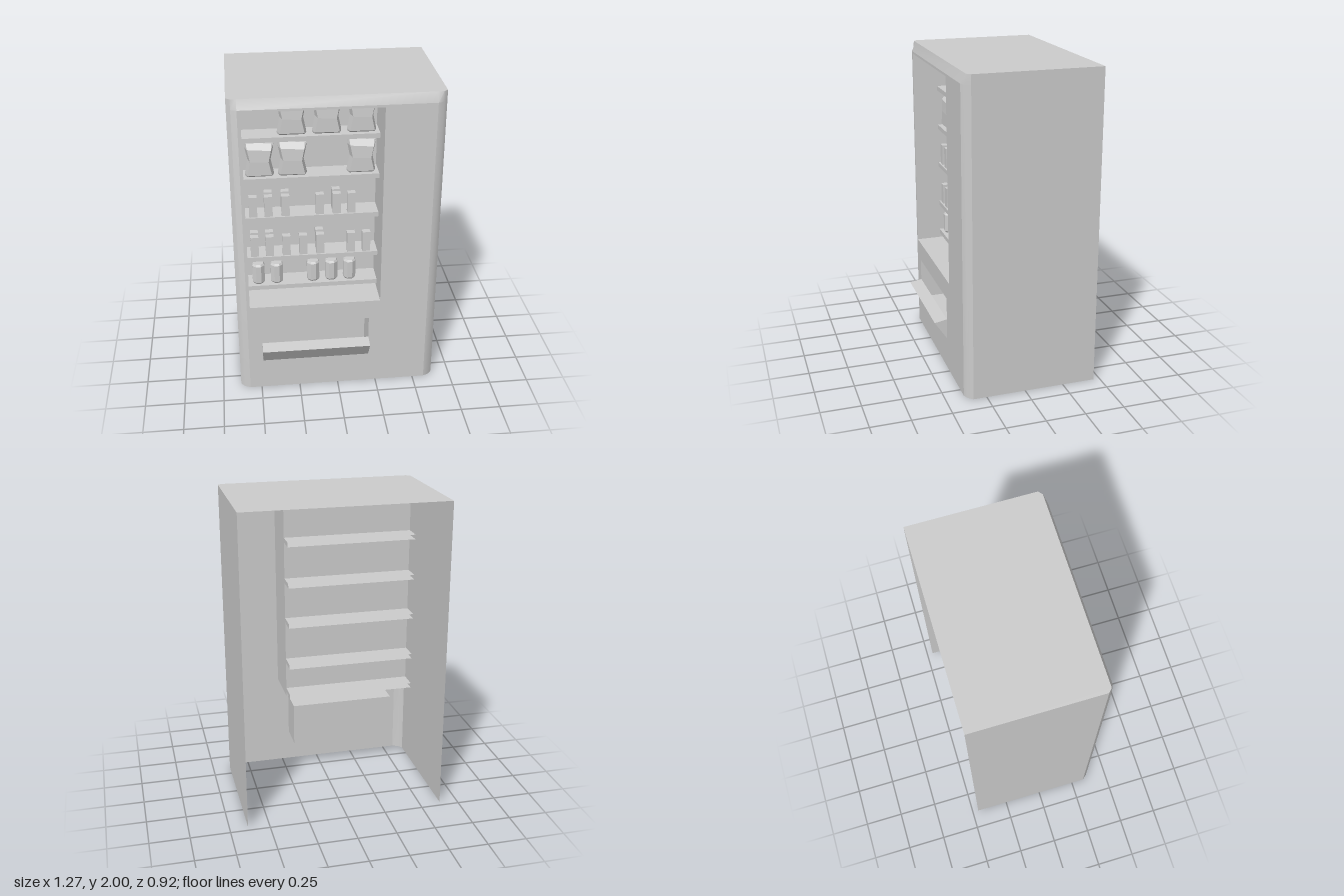
import * as THREE from 'three';
import { toCreasedNormals } from 'three/addons/utils/BufferGeometryUtils.js';

const smooth = new THREE.MeshStandardMaterial({ color: 0xcccccc, side: THREE.DoubleSide });
const flat = new THREE.MeshStandardMaterial({ color: 0xcccccc, side: THREE.DoubleSide, flatShading: true });

function add(parent, name, geometry, material = smooth) {
  const mesh = new THREE.Mesh(geometry, material);
  mesh.name = name;
  parent.add(mesh);
  return mesh;
}

// Skin between rows of points stacked upwards; skip(row, column) leaves a quad out
function loft(rows, closed, skip = () => false) {
  const pos = [];
  const n = rows[0].length;
  for (let r = 0; r < rows.length - 1; r++) {
    for (let i = 0; i < (closed ? n : n - 1); i++) {
      if (skip(r, i)) continue;
      const j = (i + 1) % n;
      const a = rows[r][i], b = rows[r][j], c = rows[r + 1][j], d = rows[r + 1][i];
      pos.push(...a, ...b, ...c, ...a, ...c, ...d);
    }
  }
  const g = new THREE.BufferGeometry();
  g.setAttribute('position', new THREE.Float32BufferAttribute(pos, 3));
  g.computeVertexNormals();
  return g;
}

// Box between two corners with one face removed (4 = front, 5 = back)
function openBox(x0, x1, y0, y1, z0, z1, dropped) {
  const g = new THREE.BoxGeometry(x1 - x0, y1 - y0, z1 - z0);
  const index = Array.from(g.index.array);
  index.splice(dropped * 6, 6);
  g.setIndex(index);
  g.clearGroups();
  return g.translate((x0 + x1) / 2, (y0 + y1) / 2, (z0 + z1) / 2);
}

function rectPath(x0, x1, y0, y1) {
  return new THREE.Path([[x0, y0], [x0, y1], [x1, y1], [x1, y0]].map(p => new THREE.Vector2(...p)));
}

// Snack bag: pinched waist, bulging front and back, flattened top seal
function bagGeometry() {
  const sections = [
    // height, half width, half depth
    [0, 0.088, 0.035], [0.012, 0.088, 0.05], [0.1, 0.07, 0.05], [0.175, 0.085, 0.045], [0.21, 0.09, 0.012],
  ];
  const rows = sections.map(([y, w, d]) => {
    const f = w - 0.014;
    const ring = [[-w, 0], [-f, d], [f, d], [w, 0], [f, -d], [-f, -d]];
    return ring.map(([x, z]) => [x, y * (1 - x * 0.5), z]);
  });
  const cap = (row, y) => row.map(() => [0, y, 0]);
  return loft([cap(rows[0], 0), ...rows, cap(rows[4], 0.21)], true);
}

// Eight-sided can with bevelled rims
function canGeometry() {
  const profile = [[0, 0], [0.034, 0], [0.042, 0.012], [0.042, 0.128], [0.034, 0.14], [0, 0.14]];
  return new THREE.LatheGeometry(profile.map(p => new THREE.Vector2(...p)), 8, Math.PI / 8);
}

export function createModel() {
  const model = new THREE.Group();
  model.name = 'vendingMachine';

  const window_ = [-0.555, 0.27, 0.62, 1.925];
  const slot = [-0.485, 0.2, 0.21, 0.49];

  // Cabinet shell, open at the back and underneath
  const cabinet = new THREE.Group();
  cabinet.name = 'cabinet';
  model.add(cabinet);
  const half = [[0.575, 0.38], [0.61, 0.365], [0.635, 0.335], [0.635, -0.46]];
  const outline = [...half.map(([x, z]) => [-x, z]).reverse(), ...half];
  const topOutline = outline.map(([x, z]) => [x, Math.min(z, 0.357)]);
  const shell = loft([
    outline.map(([x, z]) => [x, 0, z]),
    outline.map(([x, z]) => [x, 1.94, z]),
    topOutline.map(([x, z]) => [x, 2, z]),
  ], false, (r, i) => r === 0 && i === 3);
  add(cabinet, 'sidesAndCorners', toCreasedNormals(shell, 0.5));

  const roof = new THREE.ShapeGeometry(new THREE.Shape(topOutline.map(([x, z]) => new THREE.Vector2(x, -z))));
  add(cabinet, 'roof', roof.rotateX(-Math.PI / 2).translate(0, 2, 0));

  const front = new THREE.Shape([[-0.575, 0], [0.575, 0], [0.575, 1.94], [-0.575, 1.94]].map(p => new THREE.Vector2(...p)));
  front.holes.push(rectPath(...window_), rectPath(...slot));
  add(cabinet, 'frontPanel', new THREE.ShapeGeometry(front).translate(0, 0, 0.38));

  // Recesses behind the window and the pick-up slot
  add(model, 'displayCompartment', openBox(...window_, 0.08, 0.38, 4));
  add(model, 'pickupBin', openBox(...slot, 0.19, 0.38, 4));

  // Wedge-shaped flap across the slot
  const wedge = new THREE.Shape([[-0.38, 0.21], [-0.38, 0.345], [-0.46, 0.33]].map(p => new THREE.Vector2(...p)));
  const flap = new THREE.ExtrudeGeometry(wedge, { depth: slot[1] - slot[0], bevelEnabled: false });
  add(model, 'pickupFlap', flap.rotateY(Math.PI / 2).translate(slot[0], 0, 0), flat);

  // Shelves with their goods; "behind" lists items that have a second one at the back
  const bag = bagGeometry();
  const can = canGeometry();
  const carton = new THREE.BoxGeometry(0.05, 0.135, 0.04).translate(0, 0.0675, 0);
  const shelves = [
    { y: 1.7, name: 'snackBag', geometry: bag, z: 0.15, xs: [-0.255, -0.045, 0.165] },
    { y: 1.435, name: 'snackBag', geometry: bag, z: 0.15, xs: [-0.455, -0.255, 0.165] },
    { y: 1.17, name: 'carton', geometry: carton, z: 0.19, xs: [-0.505, -0.41, -0.305, -0.093, 0.012, 0.103], behind: [1, 2, 4] },
    { y: 0.89, name: 'carton', geometry: carton, z: 0.19, xs: [-0.505, -0.41, -0.305, -0.2, -0.093, 0.103, 0.2], behind: [0, 1, 4] },
    { y: 0.68, name: 'can', geometry: can, z: 0.165, xs: [-0.487, -0.37, -0.137, -0.02, 0.097] },
  ];
  for (const { y, name, geometry, z, xs, behind = [] } of shelves) {
    add(model, 'shelf', openBox(window_[0], window_[1], y - 0.03, y, -0.04, 0.22, 5));
    xs.forEach((x, i) => {
      add(model, name, geometry, flat).position.set(x, y, z);
      if (behind.includes(i)) add(model, name, geometry, flat).position.set(x, y, z - 0.065);
    });
  }
  return model;
}
